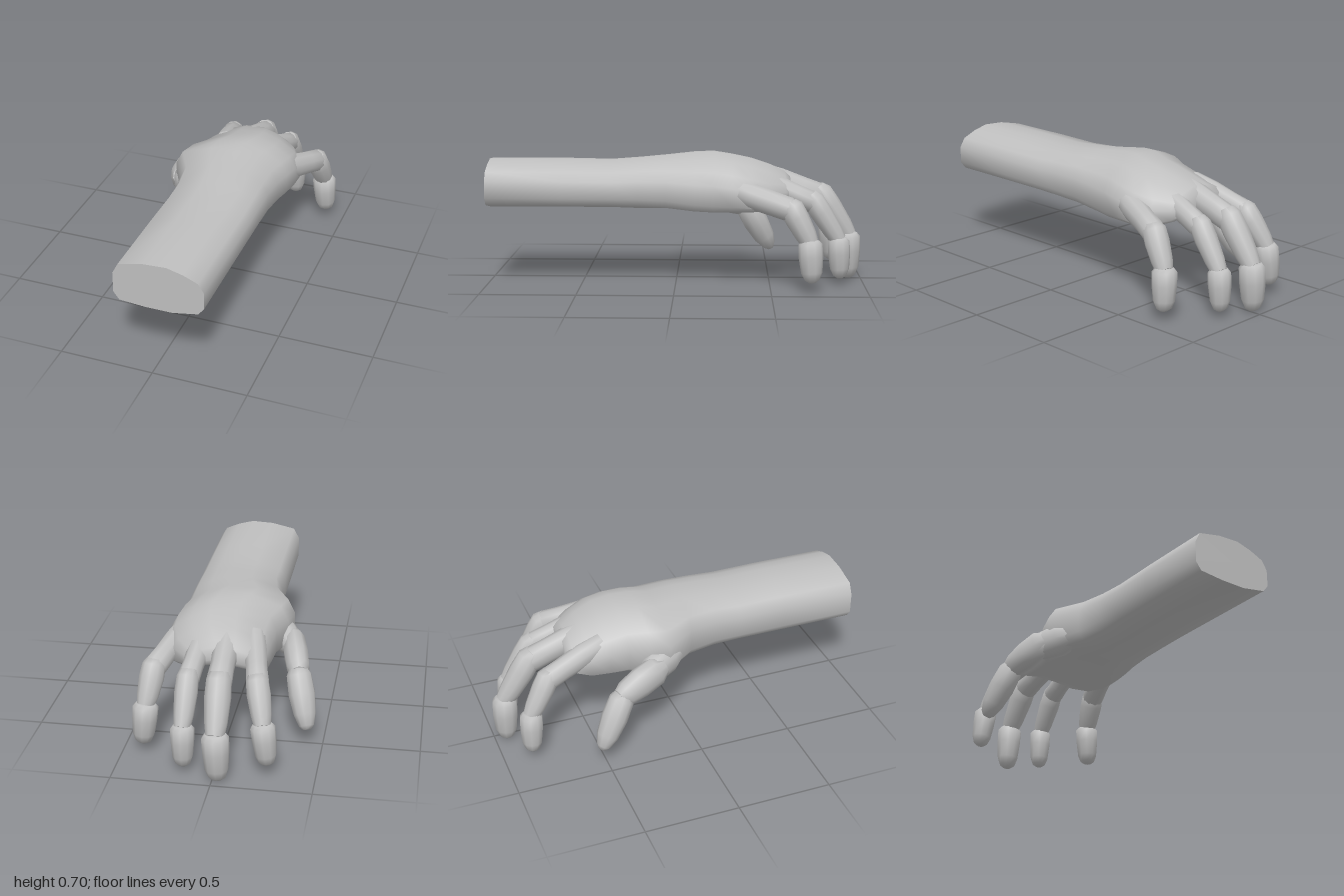
import * as THREE from 'three';
import { toCreasedNormals } from 'three/addons/utils/BufferGeometryUtils.js';

// Skin over closed rings of equal point count, with both ends capped
function loft(rings) {
  const n = rings[0].length, pos = [], idx = [];
  rings.forEach(r => r.forEach(p => pos.push(p.x, p.y, p.z)));
  for (let r = 0; r < rings.length - 1; r++) {
    for (let i = 0; i < n; i++) {
      const a = r * n + i, b = r * n + (i + 1) % n;
      idx.push(a, a + n, b, b, a + n, b + n);
    }
  }
  const cap = (r, flip) => {
    const c = new THREE.Vector3();
    rings[r].forEach(p => c.addScaledVector(p, 1 / n));
    const k = pos.length / 3;
    pos.push(c.x, c.y, c.z);
    for (let i = 0; i < n; i++) {
      const a = r * n + i, b = r * n + (i + 1) % n;
      if (flip) idx.push(k, b, a); else idx.push(k, a, b);
    }
  };
  cap(0, false);
  cap(rings.length - 1, true);
  const g = new THREE.BufferGeometry();
  g.setAttribute('position', new THREE.Float32BufferAttribute(pos, 3));
  g.setIndex(idx);
  return toCreasedNormals(g, 1.1);
}

// One finger bone: stations are [fraction along, half width, half depth]
function bone(from, to, stations) {
  const a = new THREE.Vector3(...from), b = new THREE.Vector3(...to);
  const d = b.clone().sub(a).normalize();
  const side = new THREE.Vector3(1, 0, 0).addScaledVector(d, -d.x).normalize();
  const up = side.clone().cross(d);
  return loft(stations.map(([t, w, h]) => {
    const c = a.clone().lerp(b, t);
    return Array.from({ length: 10 }, (_, i) => {
      const q = (i + 0.5) / 10 * Math.PI * 2;
      return c.clone().addScaledVector(side, w * Math.cos(q)).addScaledVector(up, h * Math.sin(q));
    });
  }));
}

// Forearm outline in unit coordinates, counter-clockwise
const outline = [[1, -0.5], [1, 0.2], [0.87, 0.58], [0.55, 0.83], [0.19, 1], [-0.32, 0.95],
  [-0.87, 0.72], [-1, 0.26], [-1, -0.6], [-0.87, -0.92], [-0.3, -1], [0.3, -1], [0.87, -0.8]];

// z, left x, right x, top y, bottom y, droop of the sides
const sections = [
  [1, -0.19, 0.28, 0.655, 0.4, 0],
  [0.6, -0.19, 0.28, 0.655, 0.4, 0],
  [0.35, -0.19, 0.28, 0.65, 0.4, 0],
  [0.2, -0.19, 0.28, 0.662, 0.395, 0],
  [0.05, -0.215, 0.28, 0.676, 0.395, 0.01],
  [-0.1, -0.3, 0.285, 0.69, 0.39, 0.03],
  [-0.2, -0.275, 0.305, 0.697, 0.395, 0.04],
  [-0.3, -0.23, 0.32, 0.685, 0.41, 0.05],
  [-0.4, -0.22, 0.32, 0.665, 0.42, 0.06],
  [-0.5, -0.21, 0.28, 0.63, 0.43, 0.06],
  [-0.58, -0.2, 0.21, 0.59, 0.45, 0.04],
  [-0.61, -0.17, 0.18, 0.56, 0.47, 0.03],
];

// Joint positions from knuckle to fingertip, with a width scale
const fingers = {
  indexFinger: { s: 0.95, p: [[-0.13, 0.55, -0.42], [-0.195, 0.435, -0.74], [-0.235, 0.265, -0.845], [-0.26, 0.06, -0.855]] },
  middleFinger: { s: 1.05, p: [[-0.005, 0.575, -0.42], [-0.01, 0.445, -0.79], [-0.015, 0.235, -0.93], [-0.025, 0.0, -0.935]] },
  ringFinger: { s: 0.92, p: [[0.12, 0.56, -0.42], [0.155, 0.43, -0.74], [0.16, 0.235, -0.865], [0.158, 0.03, -0.875]] },
  littleFinger: { s: 1, p: [[0.24, 0.52, -0.28], [0.355, 0.42, -0.61], [0.38, 0.255, -0.7], [0.395, 0.05, -0.712]] },
};

const proximal = [[0, 0.06, 0.06], [0.35, 0.064, 0.068], [0.7, 0.058, 0.064], [0.95, 0.062, 0.063], [1.05, 0.05, 0.045]];
const middle = [[-0.25, 0.045, 0.04], [-0.1, 0.06, 0.062], [0.25, 0.064, 0.063], [0.75, 0.055, 0.055], [1, 0.045, 0.045]];
const tip = [[-0.06, 0.05, 0.045], [0.03, 0.066, 0.062], [0.35, 0.064, 0.064], [0.75, 0.056, 0.055], [0.93, 0.042, 0.038], [1, 0.022, 0.018]];

export function createModel() {
  const model = new THREE.Group();
  model.name = 'hand';
  const skin = new THREE.MeshStandardMaterial({ color: 0xbfbfbf });
  skin.name = 'grey skin';
  const add = (parent, name, geometry) => {
    const m = new THREE.Mesh(geometry, skin);
    m.name = name;
    parent.add(m);
  };

  // Forearm, wrist and palm as one continuous skin
  add(model, 'forearmAndPalm', loft(sections.map(([z, x0, x1, top, bottom, droop]) =>
    outline.map(([u, v]) => new THREE.Vector3(
      (x0 + x1) / 2 + u * (x1 - x0) / 2,
      (top + bottom) / 2 + v * (top - bottom) / 2 - droop * u * u,
      z)))));

  // Four curled fingers, three bones each
  for (const [name, { s, p }] of Object.entries(fingers)) {
    const finger = new THREE.Group();
    finger.name = name;
    [['proximal', proximal], ['middle', middle], ['tip', tip]].forEach(([part, stations], i) => {
      const sized = stations.map(([t, w, h]) => [t, w * s, h * s]);
      add(finger, part, bone(p[i], p[i + 1], sized));
    });
    model.add(finger);
  }

  // Thumb: fleshy base, middle and tip
  const thumb = new THREE.Group();
  thumb.name = 'thumb';
  add(thumb, 'base', bone([-0.18, 0.46, -0.02], [-0.3, 0.42, -0.22],
    [[0, 0.06, 0.06], [0.4, 0.08, 0.09], [0.8, 0.07, 0.085], [1.1, 0.05, 0.06]]));
  add(thumb, 'middle', bone([-0.3, 0.435, -0.16], [-0.36, 0.345, -0.4],
    [[-0.1, 0.04, 0.05], [0.1, 0.06, 0.085], [0.5, 0.065, 0.085], [0.85, 0.06, 0.07], [1, 0.045, 0.05]]));
  add(thumb, 'tip', bone([-0.355, 0.345, -0.385], [-0.42, 0.095, -0.525],
    [[-0.08, 0.045, 0.045], [0.05, 0.065, 0.066], [0.4, 0.07, 0.07], [0.75, 0.058, 0.058], [0.95, 0.04, 0.036], [1.02, 0.02, 0.018]]));
  model.add(thumb);

  return model;
}
